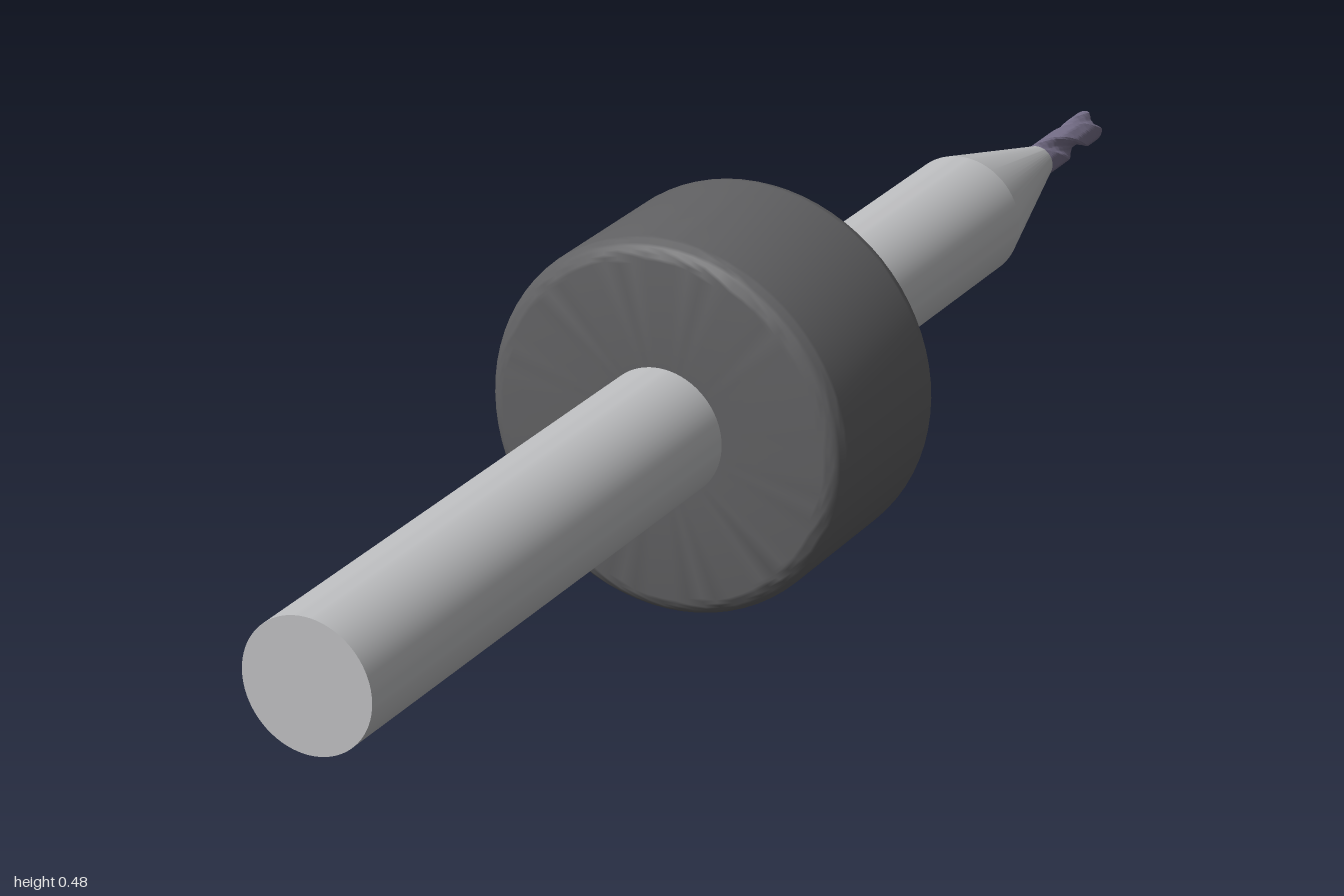
import * as THREE from 'three';
import { toCreasedNormals } from 'three/addons/utils/BufferGeometryUtils.js';

const AXIS_Y = 0.241;

const steel = new THREE.MeshStandardMaterial({ color: 0xc0c1c3 });
steel.name = 'steel';
const darkPlastic = new THREE.MeshStandardMaterial({ color: 0x626264 });
darkPlastic.name = 'darkPlastic';
const coatedCarbide = new THREE.MeshStandardMaterial({ color: 0x77708a });
coatedCarbide.name = 'coatedCarbide';

// Solid of revolution about z; profile is [radius, z], listed from back to front
function turned(name, profile, material, crease) {
  const points = profile.map(([r, z]) => new THREE.Vector2(r, z));
  const geometry = new THREE.LatheGeometry(points, 72).rotateX(Math.PI / 2);
  const mesh = new THREE.Mesh(toCreasedNormals(geometry, crease), material);
  mesh.name = name;
  return mesh;
}

// Quarter-round corner of a profile
function fillet(cr, cz, radius, start) {
  return Array.from({ length: 11 }, (_, i) => {
    const a = start + (i / 10) * Math.PI / 2;
    return [cr + radius * Math.cos(a), cz + radius * Math.sin(a)];
  });
}

// Two-flute cutter: a cylinder whose section is grooved and twisted along z
function cutter(zBack, zFront, radius) {
  const length = zFront - zBack;
  const geometry = new THREE.CylinderGeometry(radius, radius, length, 48, 48)
    .rotateX(Math.PI / 2)
    .translate(0, 0, (zBack + zFront) / 2);
  const pos = geometry.attributes.position;
  for (let i = 0; i < pos.count; i++) {
    const x = pos.getX(i), y = pos.getY(i), z = pos.getZ(i);
    const angle = Math.atan2(y, x);
    const twist = (z - zBack) * 26;
    const fade = THREE.MathUtils.smoothstep(zFront - z, 0, 0.04);
    const groove = THREE.MathUtils.smoothstep(Math.sin(angle * 2), 0.05, 0.9);
    const scale = 1 - 0.5 * fade * groove;
    const c = Math.cos(twist) * scale, s = Math.sin(twist) * scale;
    pos.setXY(i, x * c - y * s, x * s + y * c);
  }
  const mesh = new THREE.Mesh(toCreasedNormals(geometry, 0.6), coatedCarbide);
  mesh.name = 'flutedCutter';
  return mesh;
}

export function createModel() {
  const model = new THREE.Group();
  model.name = 'endMill';

  // Shank with its tapered neck
  model.add(turned('shank', [
    [0, -0.84], [0.023, -0.84], [0.083, -0.61], [0.083, 1], [0, 1],
  ], steel, 0.2));

  // Depth collar with rounded rims
  const f = 0.027, R = 0.241, back = -0.053, front = 0.21;
  model.add(turned('collar', [
    [0.08, back],
    ...fillet(R - f, back + f, f, -Math.PI / 2),
    ...fillet(R - f, front - f, f, 0),
    [0.08, front],
  ], darkPlastic, 0.6));

  // Cutting end
  model.add(cutter(-1, -0.83, 0.0225));

  model.children.forEach((part) => { part.position.y = AXIS_Y; });
  return model;
}
